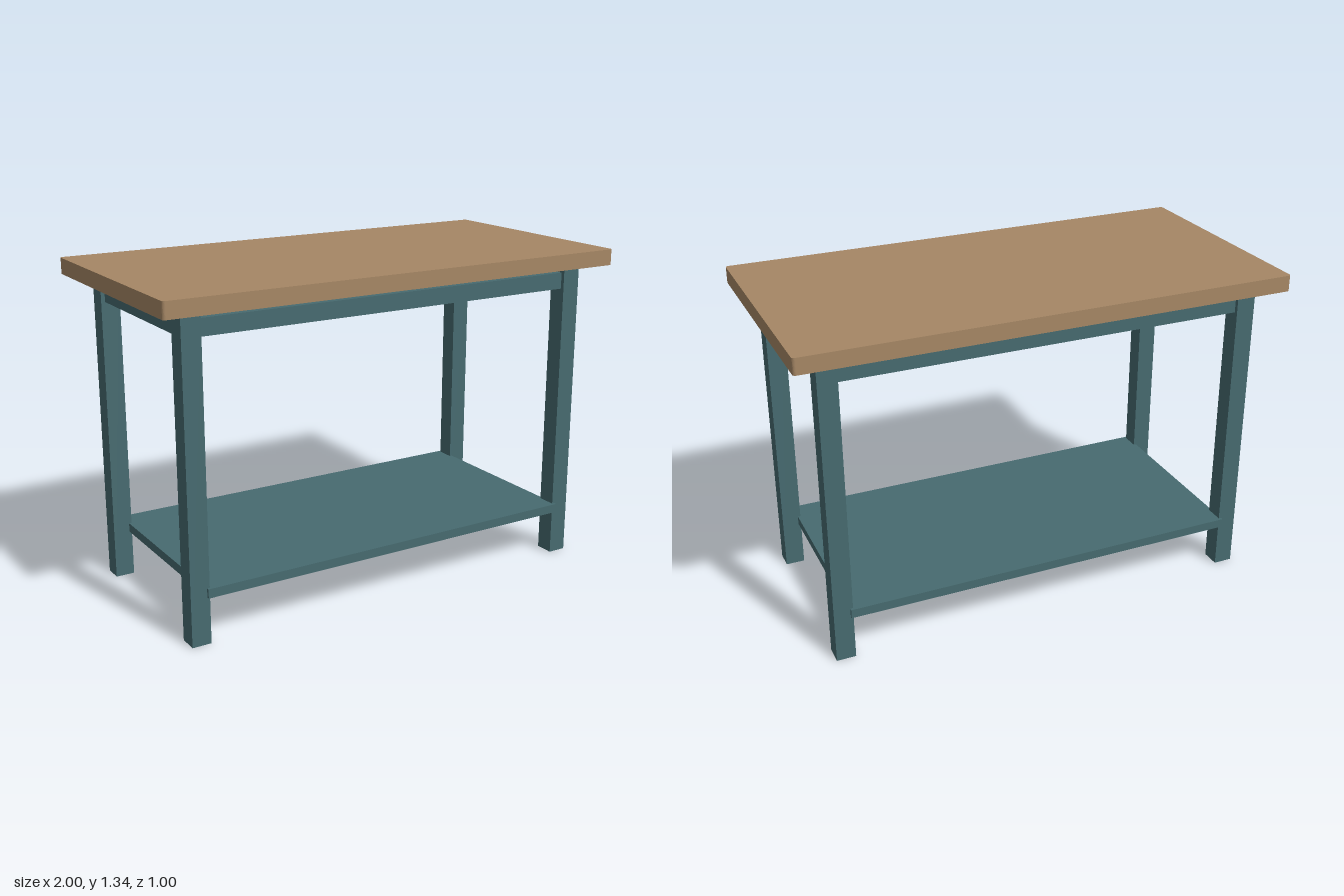
import * as THREE from 'three';

export function createModel() {
  const group = new THREE.Group();
  const wood = new THREE.MeshStandardMaterial({ color: 0xa68765 });
  wood.name = 'wood';
  const teal = new THREE.MeshStandardMaterial({ color: 0x476b70 });
  teal.name = 'tealPaint';

  function add(name, geometry, material, x, y, z) {
    const mesh = new THREE.Mesh(geometry, material);
    mesh.name = name;
    mesh.position.set(x, y, z);
    group.add(mesh);
  }

  // Tabletop: slab with slightly rounded vertical corners
  const X = 1, Z = 0.5, r = 0.012;
  const outline = new THREE.Shape();
  outline.absarc(X - r, Z - r, r, 0, Math.PI / 2);
  outline.absarc(-X + r, Z - r, r, Math.PI / 2, Math.PI);
  outline.absarc(-X + r, -Z + r, r, Math.PI, Math.PI * 1.5);
  outline.absarc(X - r, -Z + r, r, Math.PI * 1.5, Math.PI * 2);
  const slab = new THREE.ExtrudeGeometry(outline, { depth: 0.065, bevelEnabled: false, curveSegments: 3 });
  slab.rotateX(-Math.PI / 2);
  add('tabletop', slab, wood, 0, 1.27, 0);

  // Four square legs
  const legX = 0.861, legZ = 0.374, legSize = 0.078, legHeight = 1.264;
  const leg = new THREE.BoxGeometry(legSize, legHeight, legSize);
  for (const sx of [-1, 1]) {
    for (const sz of [-1, 1]) {
      add((sz > 0 ? 'front' : 'back') + (sx > 0 ? 'Left' : 'Right') + 'Leg', leg, teal, sx * legX, legHeight / 2, sz * legZ);
    }
  }

  // Rails between the legs, just under the top
  const railY = 1.205, railHeight = 0.067, railThickness = 0.046;
  const longRail = new THREE.BoxGeometry(2 * legX - legSize, railHeight, railThickness);
  const sideRail = new THREE.BoxGeometry(railThickness, railHeight, 2 * legZ - legSize);
  for (const s of [-1, 1]) {
    add(s > 0 ? 'frontRail' : 'backRail', longRail, teal, 0, railY, s * legZ);
    add(s > 0 ? 'leftRail' : 'rightRail', sideRail, teal, s * legX, railY, 0);
  }

  // Lower shelf, slightly proud of the legs at front and back
  add('lowerShelf', new THREE.BoxGeometry(1.666, 0.037, 0.85), teal, 0, 0.208, 0);

  return group;
}
